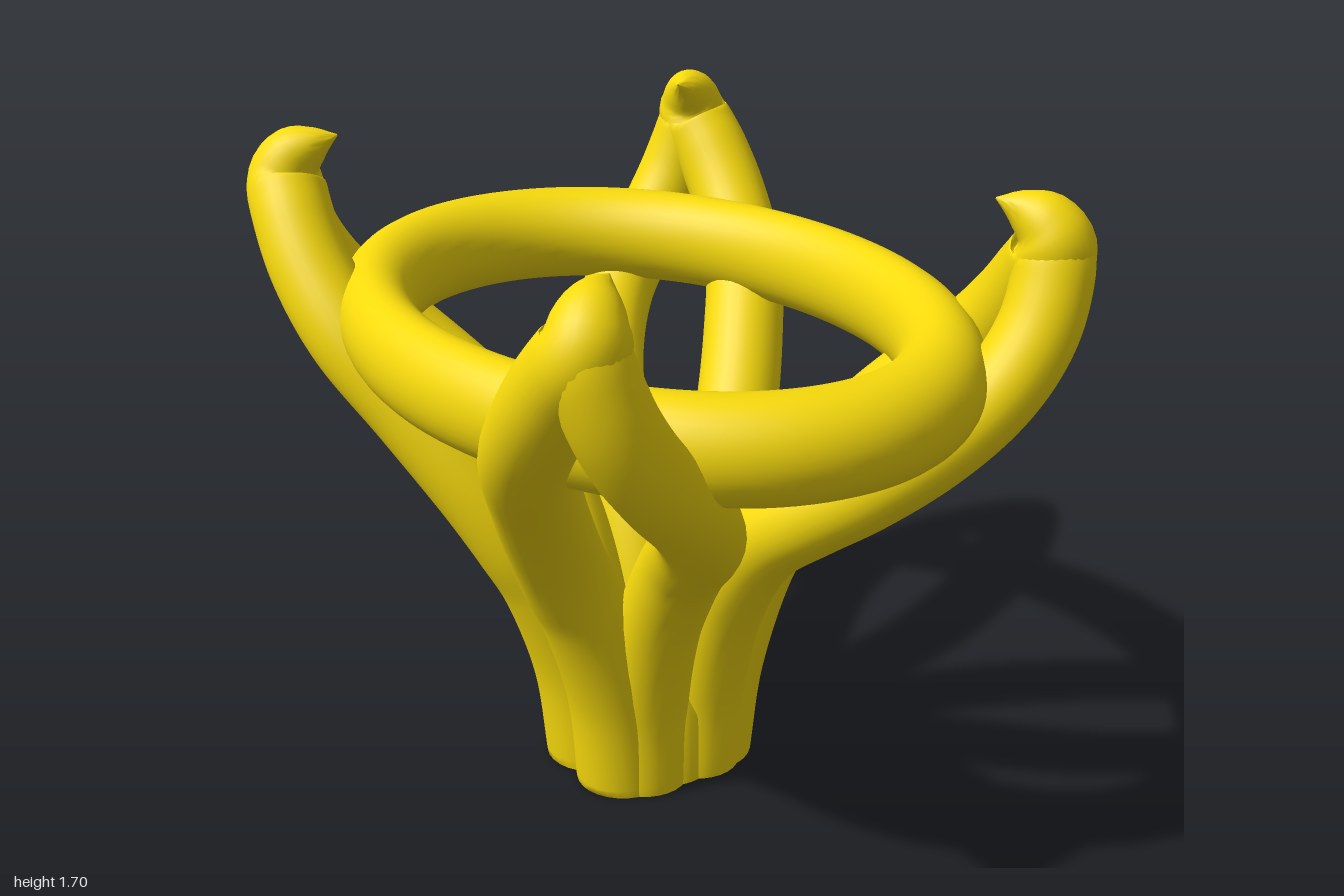
import * as THREE from 'three';
import { toCreasedNormals } from 'three/addons/utils/BufferGeometryUtils.js';

const gold = new THREE.MeshStandardMaterial({ color: 0xf7da0c });

// Shared hooked tip where the two stems of a prong join
const TIP = [[0.643, 1.56, 0.772], [0.622, 1.615, 0.757], [0.58, 1.652, 0.718], [0.53, 1.676, 0.682]];
// Stem running along z, and stem running along x
const STEM_Z = [[0.085, 0, 0.112], [0.092, 0.25, 0.13], [0.1, 0.5, 0.2], [0.108, 0.66, 0.285], [0.125, 0.77, 0.37],
  [0.17, 0.87, 0.49], [0.24, 0.965, 0.605], [0.345, 1.085, 0.715], [0.46, 1.2, 0.775], [0.545, 1.305, 0.797],
  [0.605, 1.415, 0.797], ...TIP];
const STEM_X = [[0.135, 0, 0.08], [0.172, 0.28, 0.09], [0.262, 0.55, 0.105], [0.325, 0.67, 0.127], [0.4, 0.81, 0.185],
  [0.52, 1.02, 0.32], [0.622, 1.2, 0.47], [0.658, 1.34, 0.595], [0.66, 1.46, 0.695], ...TIP];

// Stem thickness: slims slightly on the way up, then narrows to a beak in the hook
function taper(t) {
  const k = Math.max(0, (t - 0.88) / 0.12);
  return (1 - 0.18 * t) * Math.max(0.02, 1 - k * k);
}

function stem(points, radius, sx, sz, name) {
  const curve = new THREE.CatmullRomCurve3(points.map(([x, y, z]) => new THREE.Vector3(x * sx, y, z * sz)));
  const rings = 120, sides = 28;
  const geo = new THREE.TubeGeometry(curve, rings, radius, sides);
  const pos = geo.attributes.position, v = new THREE.Vector3();
  for (let i = 0; i <= rings; i++) {
    const c = curve.getPointAt(i / rings), s = taper(i / rings);
    for (let j = 0; j <= sides; j++) {
      const n = i * (sides + 1) + j;
      v.fromBufferAttribute(pos, n).sub(c).multiplyScalar(s).add(c);
      pos.setXYZ(n, v.x, i === 0 ? 0 : Math.max(0, v.y), v.z);
    }
  }
  const mesh = new THREE.Mesh(toCreasedNormals(geo, 1.0), gold);
  mesh.name = name;
  // Flat foot closing the tube on the ground
  const foot = new THREE.Mesh(new THREE.CircleGeometry(radius, sides).rotateX(Math.PI / 2), gold);
  foot.name = 'stemFoot';
  foot.position.copy(curve.getPointAt(0));
  mesh.add(foot);
  return mesh;
}

export function createModel() {
  const model = new THREE.Group();
  model.name = 'ringHeadSetting';

  // Oval rail
  const rail = new THREE.Mesh(new THREE.TorusGeometry(0.87, 0.13, 32, 120).rotateX(Math.PI / 2).scale(0.74, 1, 1), gold);
  rail.name = 'ovalRail';
  rail.position.y = 1.255;
  model.add(rail);

  // Four mirrored split prongs
  for (const sx of [1, -1]) for (const sz of [1, -1]) {
    const prong = new THREE.Group();
    prong.name = (sz > 0 ? 'front' : 'back') + (sx > 0 ? 'Left' : 'Right') + 'Prong';
    prong.add(stem(STEM_Z, 0.118, sx, sz, 'innerStem'), stem(STEM_X, 0.126, sx, sz, 'outerStem'));
    model.add(prong);
  }

  // Solid core filling the foot between the stems, pointed where the stems part
  const profile = [[0, 0], [0.14, 0], [0.14, 0.2], [0.11, 0.34], [0, 0.5]].map(([r, y]) => new THREE.Vector2(r, y));
  const core = new THREE.Mesh(toCreasedNormals(new THREE.LatheGeometry(profile, 40).scale(1, 1, 1.55), 0.9), gold);
  core.name = 'core';
  model.add(core);
  return model;
}
